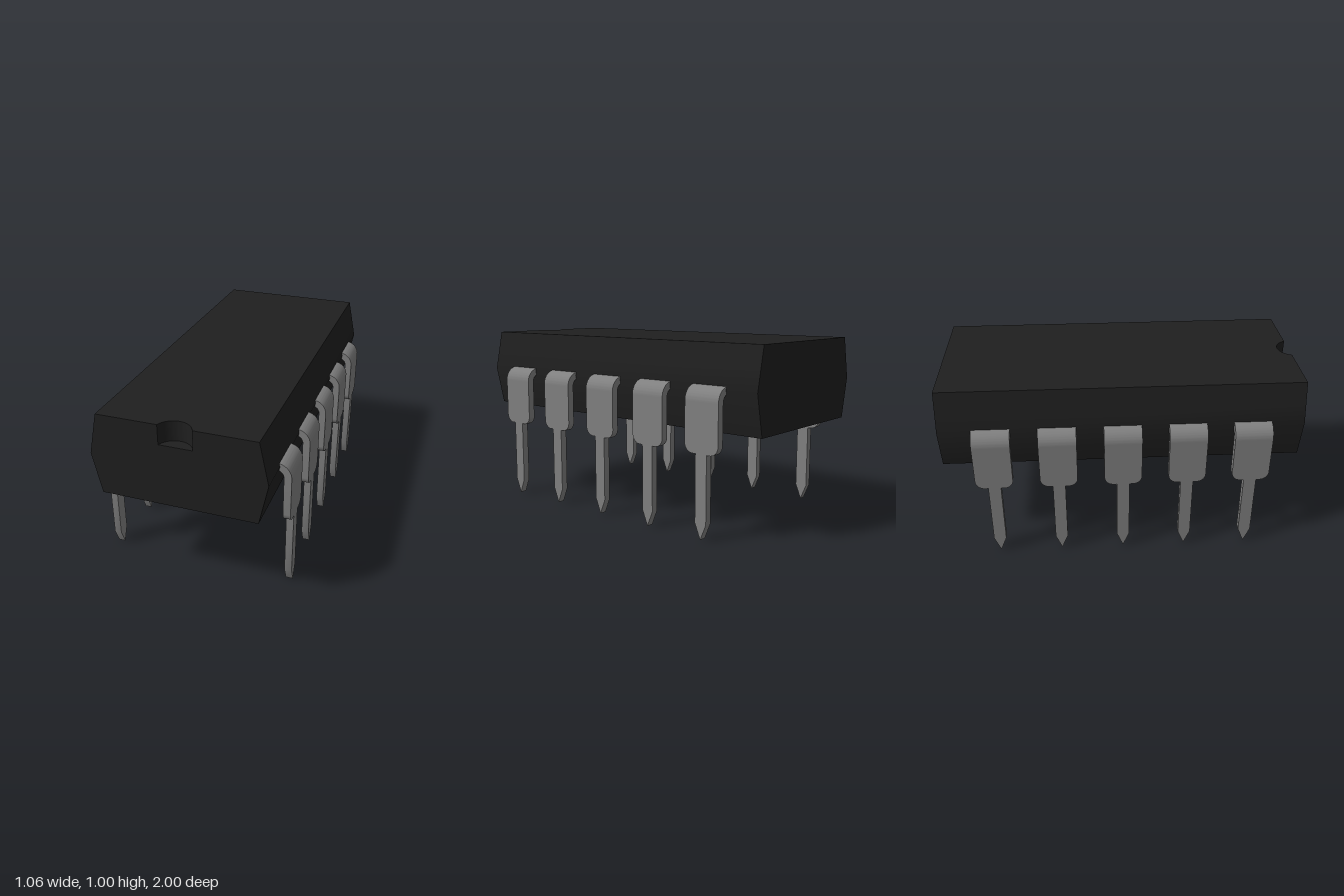
import * as THREE from 'three';
import { toCreasedNormals } from 'three/addons/utils/BufferGeometryUtils.js';

const TOP = 1, MID = 0.77, BOTTOM = 0.545;   // body heights
const W_END = 0.42, W_MID = 0.468;           // body half widths
const FLOOR = 0.89;                          // height of the notch floor
const W_FLOOR = W_END + (W_MID - W_END) * (TOP - FLOOR) / (TOP - MID);
const PIN_X = 0.49, THICK = 0.04, PIN_HALF = 0.104, LEG_HALF = 0.035, BEND_Y = 0.71;
const PIN_COUNT = 5, PITCH = 0.357;

const bodyMaterial = new THREE.MeshStandardMaterial({ color: 0x1f1f1f });
const pinMaterial = new THREE.MeshStandardMaterial({ color: 0x808080 });

function extrude(shape, depth, curveSegments = 10) {
  return new THREE.ExtrudeGeometry(shape, { depth, bevelEnabled: false, curveSegments });
}

function named(name, geometry, material) {
  const mesh = new THREE.Mesh(toCreasedNormals(geometry, 0.5), material);
  mesh.name = name;
  return mesh;
}

// Main block below the notch floor: six-sided section run along z
function lowerBody() {
  const section = new THREE.Shape([
    [-W_END, BOTTOM], [W_END, BOTTOM], [W_MID, MID],
    [W_FLOOR, FLOOR], [-W_FLOOR, FLOOR], [-W_MID, MID],
  ].map(([x, y]) => new THREE.Vector2(x, y)));
  return extrude(section, 2).translate(0, 0, -1);
}

// Top slab with the round notch in the front edge, sides tapering upward
function upperBody() {
  const r = 0.095, offset = 0.03, a = Math.asin(offset / r);
  const plan = new THREE.Shape();
  plan.moveTo(-W_FLOOR, -1);
  plan.lineTo(-r * Math.cos(a), -1);
  plan.absarc(0, -1 - offset, r, Math.PI - a, a, true);
  plan.lineTo(W_FLOOR, -1);
  plan.lineTo(W_FLOOR, 1);
  plan.lineTo(-W_FLOOR, 1);
  plan.closePath();
  const geometry = extrude(plan, TOP - FLOOR, 16).rotateX(-Math.PI / 2).translate(0, FLOOR, 0);
  const p = geometry.attributes.position;
  for (let i = 0; i < p.count; i++) {
    if (p.getY(i) > 0.95 && Math.abs(p.getX(i)) > 0.3) p.setX(i, Math.sign(p.getX(i)) * W_END);
  }
  return geometry;
}

// Quarter-round shoulder leaving the body side
function shoulder() {
  const cx = 0.45, outer = PIN_X + THICK - cx, inner = PIN_X - cx;
  const s = new THREE.Shape();
  s.moveTo(0.43, BEND_Y + inner);
  s.lineTo(cx, BEND_Y + inner);
  s.absarc(cx, BEND_Y, inner, Math.PI / 2, 0, true);
  s.lineTo(cx + outer, BEND_Y);
  s.absarc(cx, BEND_Y, outer, 0, Math.PI / 2, false);
  s.lineTo(0.43, BEND_Y + outer);
  s.closePath();
  return extrude(s, 2 * PIN_HALF).translate(0, 0, -PIN_HALF);
}

// Wide blade with rounded lower corners, narrow leg and pointed tip
function blade() {
  const low = 0.445, r = 0.05, tipY = 0.085;
  const s = new THREE.Shape();
  s.moveTo(PIN_HALF, BEND_Y);
  s.lineTo(-PIN_HALF, BEND_Y);
  s.lineTo(-PIN_HALF, low + r);
  s.absarc(-PIN_HALF + r, low + r, r, Math.PI, 1.5 * Math.PI, false);
  s.lineTo(-LEG_HALF, low);
  s.lineTo(-LEG_HALF, tipY);
  s.lineTo(0, 0);
  s.lineTo(LEG_HALF, tipY);
  s.lineTo(LEG_HALF, low);
  s.lineTo(PIN_HALF - r, low);
  s.absarc(PIN_HALF - r, low + r, r, -Math.PI / 2, 0, false);
  s.closePath();
  return extrude(s, THICK).rotateY(Math.PI / 2).translate(PIN_X, 0, 0);
}

export function createModel() {
  const model = new THREE.Group();
  model.name = 'chip';

  const body = new THREE.Group();
  body.name = 'body';
  body.add(named('lowerBody', lowerBody(), bodyMaterial));
  body.add(named('notchedTop', upperBody(), bodyMaterial));
  model.add(body);

  // One row of pins per side, the second turned half round
  const shoulderMesh = named('pinShoulder', shoulder(), pinMaterial);
  const bladeMesh = named('pinBlade', blade(), pinMaterial);
  for (const side of ['left', 'right']) {
    const row = new THREE.Group();
    row.name = side + 'PinRow';
    for (let i = 0; i < PIN_COUNT; i++) {
      const pin = new THREE.Group();
      pin.name = 'pin';
      pin.add(shoulderMesh.clone(), bladeMesh.clone());
      pin.position.z = (i - (PIN_COUNT - 1) / 2) * PITCH;
      row.add(pin);
    }
    if (side === 'right') row.rotation.y = Math.PI;
    model.add(row);
  }
  return model;
}
